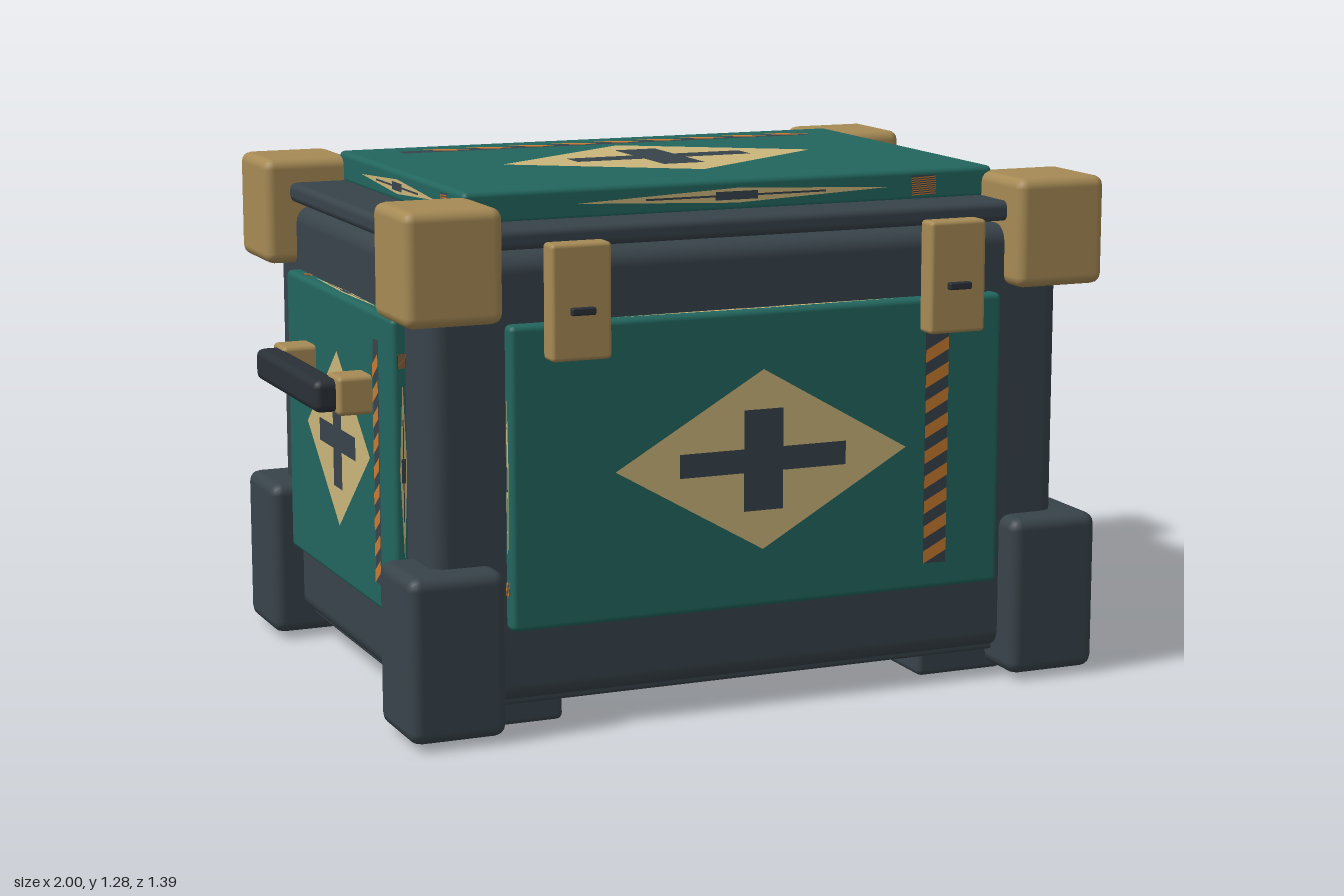
import * as THREE from 'three';
import { RoundedBoxGeometry } from 'three/addons/geometries/RoundedBoxGeometry.js';

const mat = (name, color) => {
  const m = new THREE.MeshStandardMaterial({ color });
  m.name = name;
  return m;
};

export function createModel() {
  const steel = mat('dark slate', 0x38434a);
  const grip = mat('near black', 0x2a3037);
  const teal = mat('teal', 0x22665e);
  const brass = mat('brass', 0xa68a55);
  const cream = mat('cream', 0xcab57a);
  const orange = mat('orange', 0xc87a30);

  const crate = new THREE.Group();
  crate.name = 'crate';
  const ZC = -0.02; // the crate body sits slightly behind the middle

  // Rounded box given by centre and size
  function block(name, material, [x, y, z], [w, h, d], radius, parent = crate, segments = 2) {
    const mesh = new THREE.Mesh(new RoundedBoxGeometry(w, h, d, segments, radius), material);
    mesh.name = name;
    mesh.position.set(x, y, z);
    parent.add(mesh);
    return mesh;
  }

  // Flat painted shape, its points given as fractions of the half width and half height
  function paint(name, material, polygons, w, h, z, parent) {
    const shapes = polygons.map((points) =>
      new THREE.Shape(points.map(([u, v]) => new THREE.Vector2(u * w / 2, v * h / 2))));
    const mesh = new THREE.Mesh(new THREE.ShapeGeometry(shapes), material);
    mesh.name = name;
    mesh.position.z = z;
    parent.add(mesh);
  }

  const a = 0.34, b = 0.08;
  const diamond = [[0.595, 0], [0, 0.605], [-0.595, 0], [0, -0.605]];
  const cross = [[a, -b], [a, b], [b, b], [b, a], [-b, a], [-b, b],
    [-a, b], [-a, -b], [-b, -b], [-b, -a], [b, -a], [b, -b]];
  const [u0, u1, end] = [0.675, 0.772, 0.82];
  const strip = [[u0, -end], [u1, -end], [u1, end], [u0, end]];
  const pitch = (2 * end) / 9.5;
  const hazard = Array.from({ length: 9 }, (_, i) => {
    const v = -end + i * pitch;
    return [[u0, v], [u1, v + pitch / 2], [u1, v + pitch], [u0, v + pitch / 2]];
  });

  // Diamond, cross and hazard strip
  function markings(w, h, step, parent) {
    paint('diamond', cream, [diamond], w, h, step, parent);
    paint('cross', steel, [cross], w, h, step * 2, parent);
    paint('hazardStrip', steel, [strip], w, h, step, parent);
    paint('hazardStripes', orange, hazard, w, h, step * 2, parent);
  }

  // Painted panel facing its own +z, with markings on the face and along the four edges
  function panel(name, w, h, t, position, rotation) {
    const group = new THREE.Group();
    group.name = name;
    group.position.set(...position);
    group.rotation.set(...rotation);
    block(name + 'Plate', teal, [0, 0, 0], [w, h, t], 0.014, group);
    const face = new THREE.Group();
    face.name = 'faceMarkings';
    face.position.z = t / 2;
    markings(w, h, 0.002, face);
    group.add(face);
    const up = new THREE.Vector3(0, 0, 1);
    for (let i = 0; i < 4; i++) {
      const n = new THREE.Vector3(Math.round(Math.cos(i * Math.PI / 2)), Math.round(Math.sin(i * Math.PI / 2)), 0);
      const edge = new THREE.Group();
      edge.name = 'edgeMarkings';
      edge.quaternion.setFromRotationMatrix(
        new THREE.Matrix4().makeBasis(new THREE.Vector3().crossVectors(up, n), up, n));
      edge.position.copy(n).multiplyScalar((i % 2 ? h : w) / 2);
      markings(i % 2 ? w : h, t - 0.02, 0.001, edge);
      group.add(edge);
    }
    crate.add(group);
  }

  // Body, base slab and lid with a thin gap below it
  block('body', steel, [0, 0.61, ZC], [1.66, 1.074, 1.2], 0.045, crate, 3);
  block('baseSlab', steel, [0, 0.075, ZC], [1.6, 0.03, 1.14], 0.01);
  block('lid', steel, [0, 1.182, ZC], [1.69, 0.05, 1.22], 0.018);

  // Panels
  const H = Math.PI / 2;
  panel('frontPanel', 1.29, 0.73, 0.05, [0, 0.62, ZC + 0.613], [0, 0, 0]);
  panel('backPanel', 1.29, 0.73, 0.05, [0, 0.62, ZC - 0.613], [0, Math.PI, 0]);
  panel('leftPanel', 0.855, 0.73, 0.05, [0.838, 0.62, ZC], [0, H, 0]);
  panel('rightPanel', 0.855, 0.73, 0.05, [-0.838, 0.62, ZC], [0, -H, 0]);
  panel('lidPanel', 0.955, 1.4, 0.08, [0, 1.24, ZC], [-H, 0, H]);

  for (const s of [-1, 1]) {
    // Corner guards
    for (const f of [-1, 1]) {
      block('topCorner', brass, [s * 0.79, 1.132, ZC + f * 0.555], [0.24, 0.27, 0.24], 0.026);
      block('bottomCorner', steel, [s * 0.79, 0.215, ZC + f * 0.555], [0.24, 0.4, 0.24], 0.03);
      block('handleBracket', brass, [s * 0.9, 0.778, ZC + f * 0.227], [0.095, 0.095, 0.095], 0.012);
    }
    // Handle bar, latch and runner on each side
    block('handleBar', grip, [s * 0.965, 0.777, ZC], [0.07, 0.08, 0.51], 0.02);
    block('latch', brass, [s * 0.49, 1.042, 0.65], [0.15, 0.275, 0.06], 0.01);
    block('latchSlot', grip, [s * 0.49, 1.022, 0.683], [0.06, 0.018, 0.024], 0.004);
    block('runner', steel, [s * 0.6, 0.035, ZC], [0.24, 0.07, 1.08], 0.015);
  }
  return crate;
}
